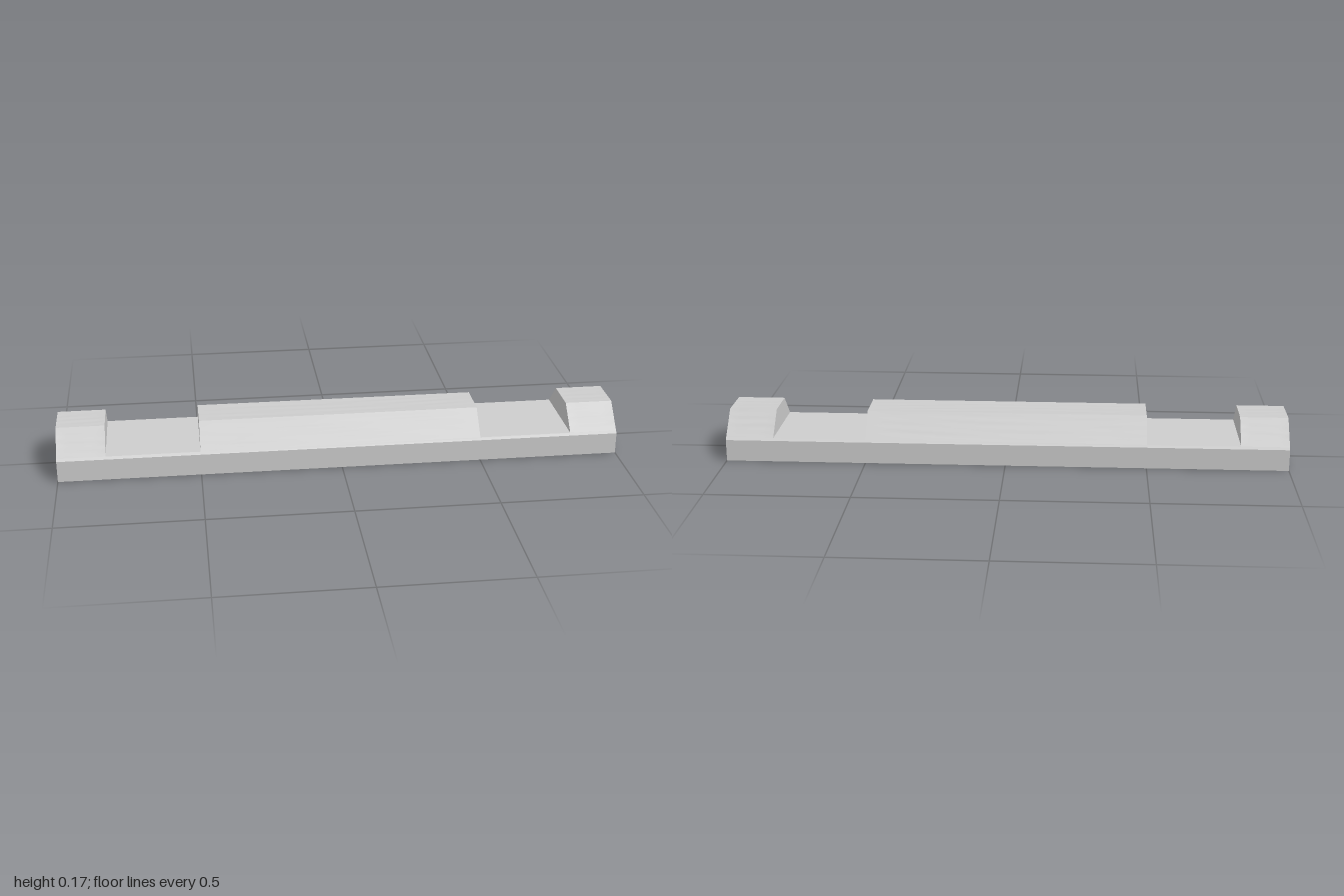
import * as THREE from 'three';

const wood = new THREE.MeshStandardMaterial({ color: 0xcccccc });
wood.name = 'paleWood';

// Half octagon outline as [z, y], from the front foot over the top to the back foot
const outline = [[0.16, 0], [0.16, 0.077], [0.07, 0.167], [-0.07, 0.167], [-0.16, 0.077], [-0.16, 0]];
const FLOOR = 0.085; // height of the notch floors
const FLOOR_Z = 0.152;

const lerp = THREE.MathUtils.lerp;

// Surface from a rule point(u, v); it faces along du x dv
function surface(name, point, nu = 1, nv = 1, flip = false) {
  const pos = [], index = [];
  for (let j = 0; j <= nv; j++) {
    for (let i = 0; i <= nu; i++) pos.push(...point(i / nu, j / nv));
  }
  for (let j = 0; j < nv; j++) {
    for (let i = 0; i < nu; i++) {
      const a = j * (nu + 1) + i, b = a + 1, c = a + nu + 1, d = c + 1;
      if (flip) index.push(a, d, b, a, c, d);
      else index.push(a, b, d, a, d, c);
    }
  }
  const geo = new THREE.BufferGeometry();
  geo.setAttribute('position', new THREE.Float32BufferAttribute(pos, 3));
  geo.setIndex(index);
  geo.computeVertexNormals();
  const mesh = new THREE.Mesh(geo, wood);
  mesh.name = name;
  return mesh;
}

// Flat panel swept along x between two outline points
function panel(name, x0, x1, [z0, y0], [z1, y1]) {
  return surface(name, (u, v) => [lerp(x0, x1, u), lerp(y0, y1, v), lerp(z0, z1, v)]);
}

// Weathered face with shallow lengthwise grain that fades out at its edges
function grainFace(name, x0, x1, [z0, y0], [z1, y1]) {
  const len = Math.hypot(z1 - z0, y1 - y0);
  const ny = (z0 - z1) / len, nz = (y1 - y0) / len;
  return surface(name, (u, v) => {
    const x = lerp(x0, x1, u), s = v * len;
    const fade = Math.min(1, 6 * v, 6 * (1 - v), 8 * u, 8 * (1 - u));
    const d = -0.0008 * fade * (1 + Math.sin(s * 190 + 1.6 * Math.sin(x * 5 + z0 * 20)) * Math.sin(x * 7 + s * 30));
    return [x, lerp(y0, y1, v) + ny * d, lerp(z0, z1, v) + nz * d];
  }, Math.ceil((x1 - x0) * 50), 18);
}

// Raised block between notches
function raisedBlock(name, x0, x1) {
  const group = new THREE.Group();
  group.name = name;
  const p = [[FLOOR_Z, FLOOR], outline[2], outline[3], [-FLOOR_Z, FLOOR]];
  const faces = ['frontSlope', 'topFace', 'backSlope'];
  faces.forEach((face, i) => group.add(grainFace(face, x0, x1, p[i], p[i + 1])));
  // Upright notch walls
  for (const [x, side] of [[x0, -1], [x1, 1]]) {
    if (Math.abs(x) === 1) continue;
    group.add(surface('notchWall', (u, v) => {
      const half = lerp(FLOOR_Z, 0.07, v);
      return [x, lerp(FLOOR, 0.167, v), lerp(half, -half, u)];
    }, 1, 1, side < 0));
  }
  return group;
}

// Sawn end with concentric growth rings in shallow relief
function sawnEnd(name, side) {
  return surface(name, (u, v) => {
    const t = Math.min(u * 5, 4.99999), i = Math.floor(t);
    const z = lerp(outline[i][0], outline[i + 1][0], t - i) * v;
    const y = lerp(outline[i][1], outline[i + 1][1], t - i) * v;
    const r = Math.hypot(z, y), angle = Math.atan2(y, z);
    const wave = Math.sin(r * 240 + 0.5 * Math.sin(angle * 5) + 0.25 * Math.sin(angle * 13));
    const depth = 0.0018 * (1 + wave) * Math.min(1, 12 * (1 - v));
    return [side * (1 - depth), y, z];
  }, 80, 70, side < 0);
}

export function createModel() {
  const model = new THREE.Group();
  model.name = 'notchedLog';

  // Long lower beam, including the notch floors
  const beam = new THREE.Group();
  beam.name = 'lowerBeam';
  const ring = [[0.16, 0], [0.16, 0.077], [FLOOR_Z, FLOOR], [-FLOOR_Z, FLOOR], [-0.16, 0.077], [-0.16, 0]];
  const names = ['frontSide', 'frontBevel', 'notchFloor', 'backBevel', 'backSide', 'underside'];
  ring.forEach((p, i) => {
    const q = ring[(i + 1) % ring.length];
    if (names[i] !== 'notchFloor') beam.add(panel(names[i], -1, 1, p, q));
    else for (const [a, b] of [[-0.83, -0.5], [0.5, 0.83]]) beam.add(panel(names[i], a, b, p, q));
  });
  model.add(beam);

  // Full height sections
  model.add(raisedBlock('rightEndBlock', -1, -0.83));
  model.add(raisedBlock('middleBlock', -0.5, 0.5));
  model.add(raisedBlock('leftEndBlock', 0.83, 1));

  // End grain
  model.add(sawnEnd('leftSawnEnd', 1), sawnEnd('rightSawnEnd', -1));
  return model;
}
